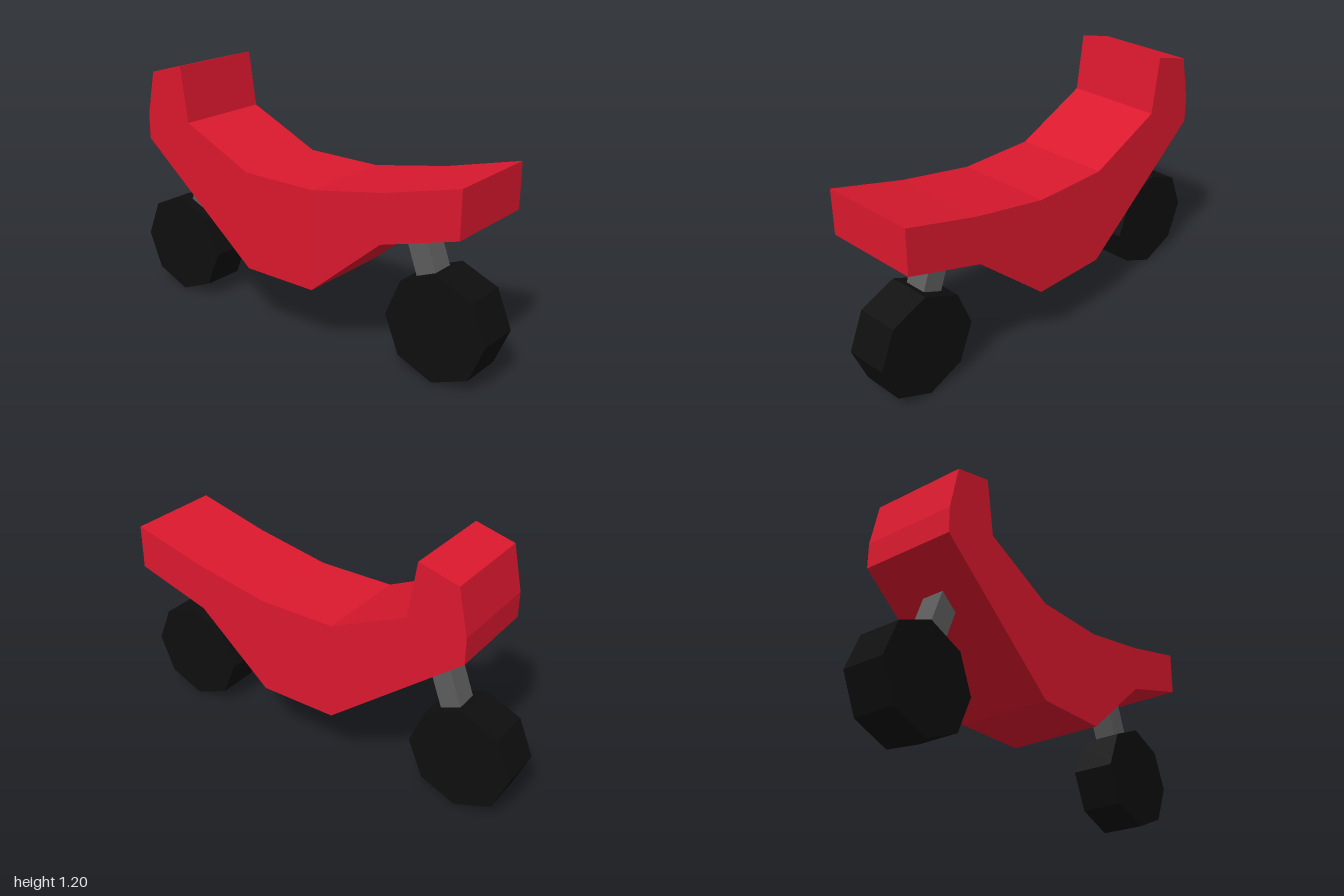
import * as THREE from 'three';

const WIDTH = 0.46;
const WHEEL = { z: 0.753, radius: 0.247, width: 0.206 };

const paint = (color) => new THREE.MeshStandardMaterial({ color, flatShading: true });

export function createModel() {
  const model = new THREE.Group();
  const red = paint(0xdc182e);
  const black = paint(0x0e0e0e);
  const grey = paint(0x5c5c5c);

  // Body: side profile as (z, y), extruded across the width
  const profile = [
    [0.93, 0.94], [0.57, 0.845], [0.2, 0.775], [-0.175, 0.775], [-0.54, 0.94],
    [-0.58, 1.2], [-0.765, 1.15], [-0.81, 0.94], [-0.81, 0.82],
    [-0.175, 0.312], [0.2, 0.312], [0.56, 0.62], [0.93, 0.73],
  ].map(([z, y]) => new THREE.Vector2(z, y));
  const bodyGeometry = new THREE.ExtrudeGeometry(new THREE.Shape(profile), {
    depth: WIDTH, bevelEnabled: false,
  });
  bodyGeometry.translate(0, 0, -WIDTH / 2).rotateY(-Math.PI / 2);
  const body = new THREE.Mesh(bodyGeometry, red);
  body.name = 'body';
  model.add(body);

  // Wheel and leaning fork strut at each end
  for (const [end, side] of [['front', 1], ['rear', -1]]) {
    const wheelGeometry = new THREE.CylinderGeometry(WHEEL.radius, WHEEL.radius, WHEEL.width, 8);
    wheelGeometry.rotateZ(Math.PI / 2);
    const wheel = new THREE.Mesh(wheelGeometry, black);
    wheel.name = end + 'Wheel';
    wheel.position.set(0, WHEEL.radius, side * WHEEL.z);
    model.add(wheel);

    // The strut runs from the hub up into the body
    const strutGeometry = new THREE.BoxGeometry(0.11, 0.54, 0.1);
    strutGeometry.translate(0, 0.27, 0);
    const strut = new THREE.Mesh(strutGeometry, grey);
    strut.name = end + 'Strut';
    strut.position.copy(wheel.position);
    strut.rotation.x = -side * 0.35;
    model.add(strut);
  }
  return model;
}
